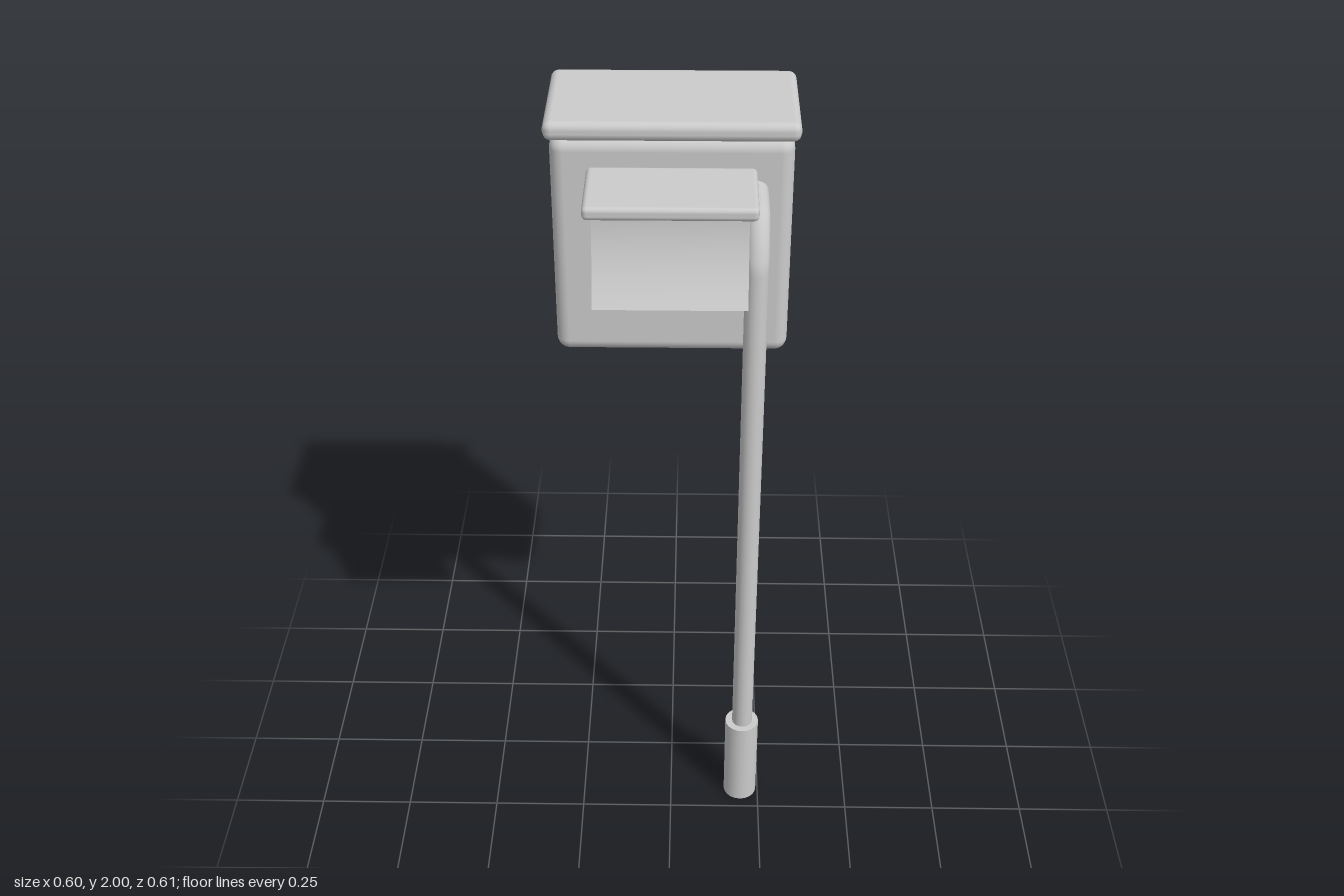
import * as THREE from 'three';
import { RoundedBoxGeometry } from 'three/addons/geometries/RoundedBoxGeometry.js';

const material = new THREE.MeshStandardMaterial({ color: 0xcccccc });
const thin = new THREE.MeshStandardMaterial({ color: 0xcccccc, side: THREE.DoubleSide });

function add(group, name, geometry, mat = material) {
  const mesh = new THREE.Mesh(geometry, mat);
  mesh.name = name;
  group.add(mesh);
  return mesh;
}

// Rounded box given by its min and max corners
function roundedBox(group, name, min, max, radius, segments) {
  const size = max.map((v, i) => v - min[i]);
  const mesh = add(group, name, new RoundedBoxGeometry(...size, segments, radius));
  mesh.position.set(...max.map((v, i) => (v + min[i]) / 2));
}

// Pipe lofted through elliptical rings: [centre y, centre z, half-axis y, half-axis z]
function pipeGeometry(rings, x, radius, sides) {
  const positions = [], indices = [];
  rings.forEach(([y, z, ay, az], r) => {
    for (let i = 0; i < sides; i++) {
      const a = (i / sides) * Math.PI * 2, c = Math.cos(a);
      positions.push(x + radius * Math.sin(a), y + ay * c, z + az * c);
      if (r === 0) continue;
      const j = (i + 1) % sides, lo = (r - 1) * sides, hi = r * sides;
      indices.push(lo + i, lo + j, hi + i, lo + j, hi + j, hi + i);
    }
  });
  const geometry = new THREE.BufferGeometry();
  geometry.setAttribute('position', new THREE.Float32BufferAttribute(positions, 3));
  geometry.setIndex(indices);
  geometry.computeVertexNormals();
  return geometry;
}

export function createModel() {
  const group = new THREE.Group();
  group.name = 'cisternWithFlushPipe';

  // Water tank and its overhanging lid
  roundedBox(group, 'tank', [-0.287, 1.383, -0.287], [0.287, 1.957, 0.019], 0.032, 4);
  roundedBox(group, 'tankLid', [-0.3, 1.952, -0.305], [0.3, 2, 0.028], 0.02, 2);

  // Paper holder: shelf with a sheet flaring forward below it
  roundedBox(group, 'paperShelf', [-0.199, 1.864, 0.03], [0.199, 1.897, 0.248], 0.012, 2);
  const sheet = new THREE.PlaneGeometry(0.356, 1, 1, 10);
  const p = sheet.attributes.position;
  for (let i = 0; i < p.count; i++) {
    const t = 0.5 - p.getY(i);
    p.setY(i, 1.88 - 0.21 * t);
    p.setZ(i, 0.235 + 0.067 * t * t);
  }
  sheet.computeVertexNormals();
  add(group, 'paperSheet', sheet, thin);

  // Flush pipe: straight riser, mitred elbow, short run into the tank
  const rings = [
    [0.2, 0.176, 0, 0.028],
    [1.7, 0.176, 0, 0.028],
    [1.753, 0.176, -0.017, 0.028],
    [1.828, 0.143, 0.027, 0.013],
    [1.828, 0.11, 0.028, 0],
    [1.828, 0, 0.028, 0],
  ];
  add(group, 'flushPipe', pipeGeometry(rings, 0.2, 0.028, 16), thin);

  // Collar at the foot of the pipe
  const collar = add(group, 'pipeCollar', new THREE.CylinderGeometry(0.046, 0.046, 0.27, 20));
  collar.position.set(0.199, 0.135, 0.176);

  return group;
}
